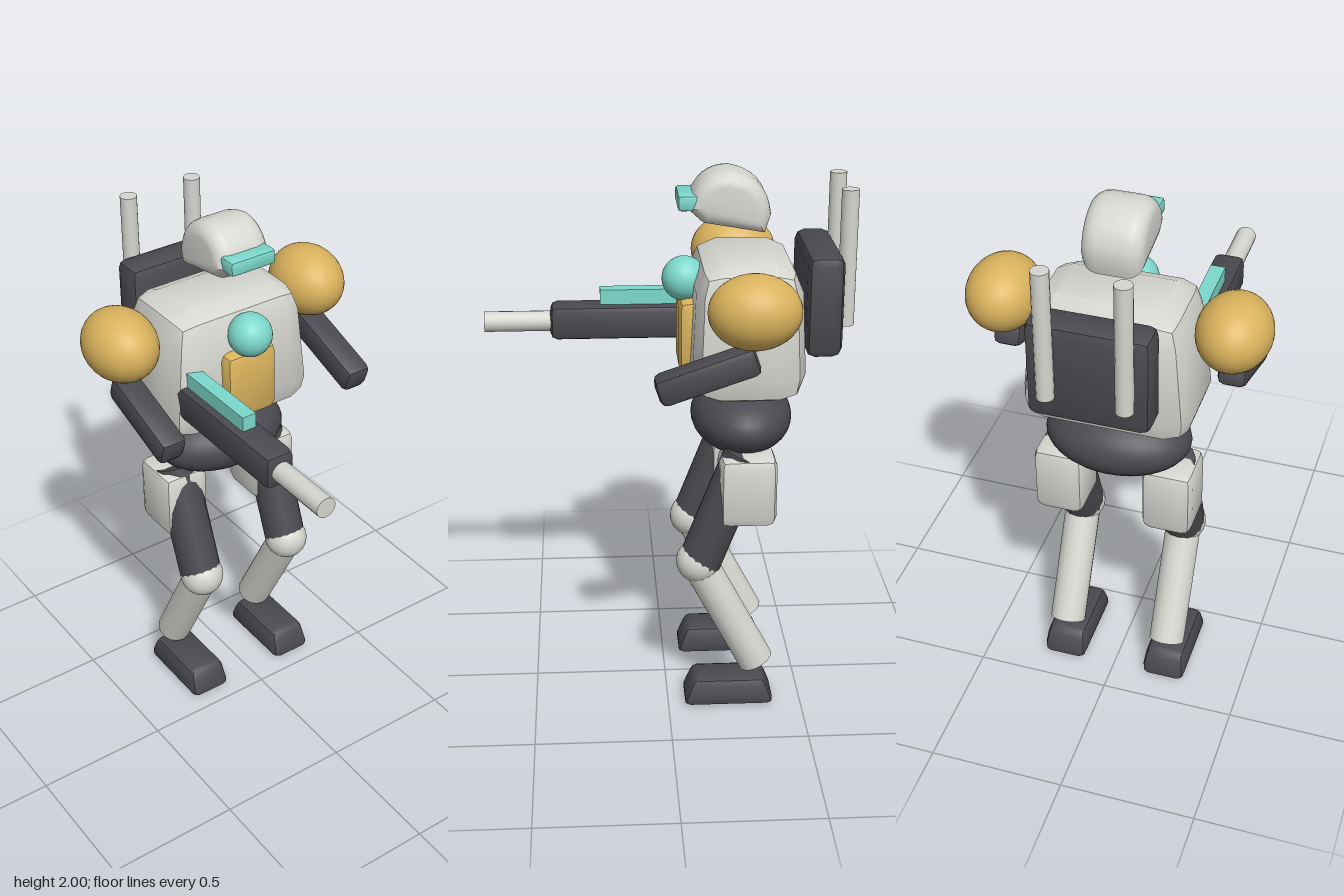
import * as THREE from 'three';
import { toCreasedNormals } from 'three/addons/utils/BufferGeometryUtils.js';
import { RoundedBoxGeometry } from 'three/addons/geometries/RoundedBoxGeometry.js';

const material = (name, color) => {
  const m = new THREE.MeshStandardMaterial({ color });
  m.name = name;
  return m;
};

export function createModel() {
  const shell = material('light grey shell', 0xd6d6d0);
  const frame = material('dark grey frame', 0x4a494f);
  const gold = material('gold plating', 0xd9b25c);
  const glow = material('turquoise glass', 0x7dd8cc);
  const model = new THREE.Group();
  model.name = 'walkingRobot';

  const add = (name, geometry, mat, pos, parent = model) => {
    const mesh = new THREE.Mesh(geometry, mat);
    mesh.name = name;
    mesh.position.set(...pos);
    parent.add(mesh);
    return mesh;
  };

  // Chamfered box; topX and topZ scale its top relative to its base
  const block = (w, h, d, r, topX = 1, topZ = 1) => {
    const g = new RoundedBoxGeometry(w, h, d, 1, r);
    const p = g.attributes.position;
    for (let i = 0; i < p.count; i++) {
      const t = p.getY(i) / h + 0.5;
      p.setX(i, p.getX(i) * (1 + (topX - 1) * t));
      p.setZ(i, p.getZ(i) * (1 + (topZ - 1) * t));
    }
    return toCreasedNormals(g, 0.6);
  };

  const ellipsoid = (rx, ry, rz) => new THREE.SphereGeometry(1, 32, 20).scale(rx, ry, rz);

  // Cylinder between two points
  const rod = (name, a, b, r, mat, parent = model) => {
    const from = new THREE.Vector3(...a), to = new THREE.Vector3(...b);
    const axis = to.clone().sub(from);
    const g = new THREE.CylinderGeometry(r, r, axis.length(), 16);
    const mesh = add(name, g, mat, from.add(to).multiplyScalar(0.5).toArray(), parent);
    mesh.quaternion.setFromUnitVectors(new THREE.Vector3(0, 1, 0), axis.normalize());
    return mesh;
  };

  // Body
  add('torso', block(0.41, 0.49, 0.63, 0.1, 0.89, 0.84), shell, [-0.285, 1.455, 0]);
  add('pelvis', ellipsoid(0.185, 0.13, 0.265), frame, [-0.28, 1.087, 0]);
  add('chestPlate', block(0.09, 0.27, 0.21, 0.03), gold, [-0.09, 1.407, 0]);
  add('chestCore', ellipsoid(0.08, 0.08, 0.08), glow, [-0.068, 1.603, 0]);

  // Head: domed helmet profile with bevelled sides, drawn inside its bevel
  const profile = new THREE.Shape();
  profile.moveTo(-0.315, 1.833);
  profile.lineTo(-0.15, 1.862);
  profile.lineTo(-0.128, 1.882);
  profile.quadraticCurveTo(-0.15, 1.955, -0.22, 1.955);
  profile.quadraticCurveTo(-0.31, 1.94, -0.32, 1.85);
  const helmet = new THREE.ExtrudeGeometry(profile, {
    depth: 0.1, bevelEnabled: true, bevelThickness: 0.057, bevelSize: 0.046,
    bevelSegments: 4, curveSegments: 8,
  });
  helmet.translate(0, 0, -0.05);
  add('head', toCreasedNormals(helmet, 0.6), shell, [0, 0, 0]);
  add('visor', block(0.08, 0.055, 0.185, 0.012), glow, [-0.08, 1.893, 0]);

  // Backpack
  add('backpack', block(0.13, 0.37, 0.43, 0.035), frame, [-0.55, 1.545, 0]);

  // Gun on the +z side
  const gun = new THREE.Group();
  gun.name = 'gun';
  model.add(gun);
  add('gunBody', block(0.57, 0.13, 0.115, 0.025), frame, [0.13, 1.385, 0.213], gun);
  add('gunSight', new THREE.BoxGeometry(0.35, 0.06, 0.054), glow, [0.055, 1.476, 0.213], gun);
  rod('gunBarrel', [0.39, 1.383, 0.213], [0.66, 1.383, 0.213], 0.038, shell, gun);

  // Paired parts
  for (const s of [1, -1]) {
    rod('antenna', [-0.63, 1.465, 0.135 * s], [-0.63, 1.95, 0.135 * s], 0.031, shell);

    add('shoulder', ellipsoid(0.16, 0.13, 0.13), gold, [-0.28, 1.6, 0.404 * s]);
    const arm = add('forearm', block(0.36, 0.105, 0.104, 0.025), frame, [-0.122, 1.381, 0.402 * s]);
    arm.rotation.z = -0.33;

    const leg = new THREE.Group();
    leg.name = 'leg';
    leg.position.z = 0.2 * s;
    model.add(leg);
    add('hipArmor', block(0.205, 0.265, 0.185, 0.035), shell, [-0.287, 0.878, 0.002 * s], leg);
    rod('thigh', [-0.28, 1.005, 0], [-0.118, 0.58, 0], 0.08, frame, leg);
    add('knee', ellipsoid(0.082, 0.082, 0.082), shell, [-0.113, 0.58, 0], leg);
    rod('shin', [-0.113, 0.575, 0], [-0.333, 0.155, 0], 0.067, shell, leg);
    add('foot', block(0.35, 0.11, 0.172, 0.028, 0.76, 0.84), frame, [-0.228, 0.055, 0], leg);
  }
  return model;
}
